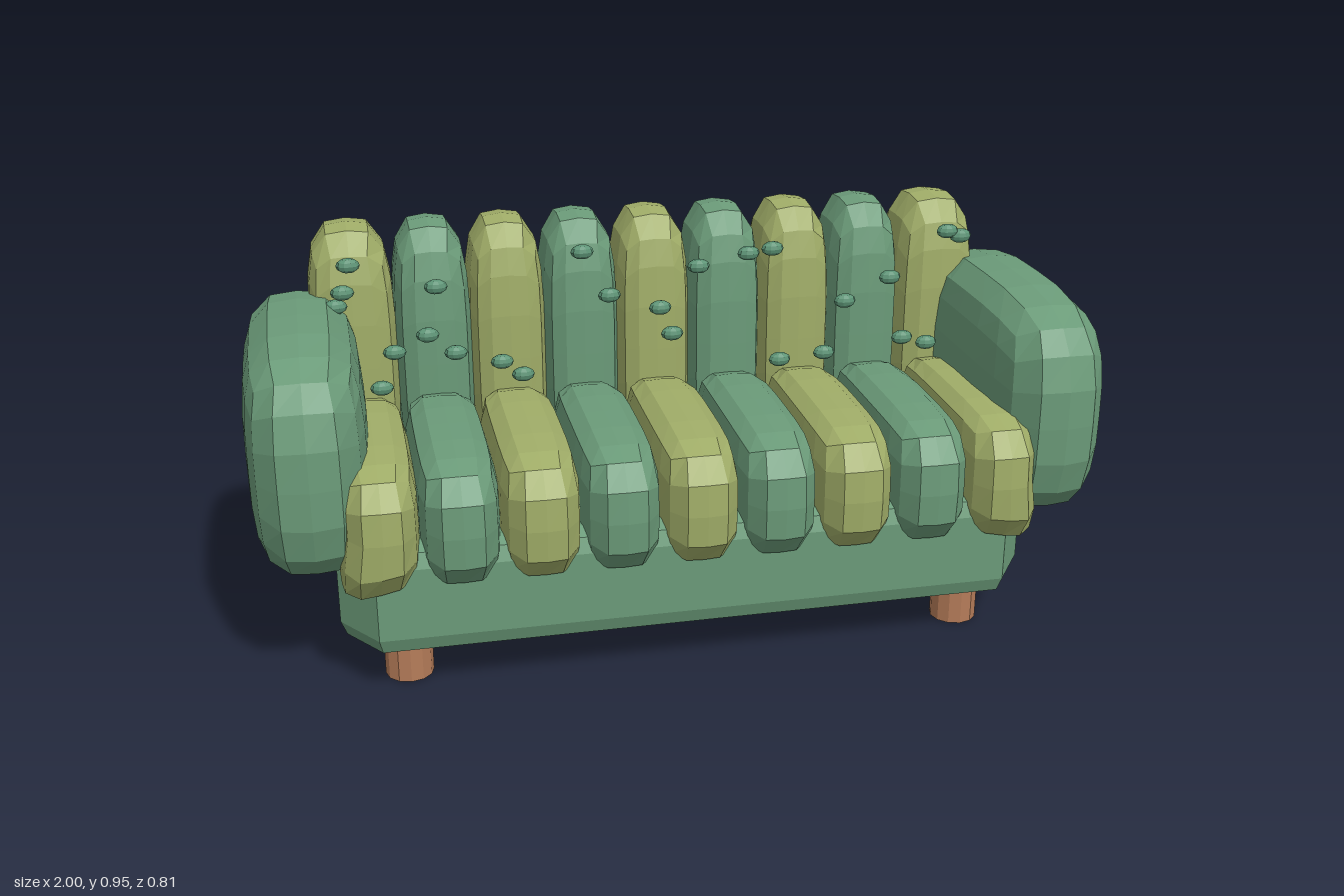
import * as THREE from 'three';

const mat = (name, color, flatShading = true) => {
  const m = new THREE.MeshStandardMaterial({ color, flatShading });
  m.name = name;
  return m;
};

// Stuffed cushion: a divided box rounded by a superellipsoid rule.
// shape(p) may adjust each point while it is still in unit space.
function puff([w, h, d], n, [sx, sy, sz], shape) {
  const g = new THREE.BoxGeometry(2, 2, 2, sx, sy, sz);
  const pos = g.attributes.position;
  const p = new THREE.Vector3();
  for (let i = 0; i < pos.count; i++) {
    p.fromBufferAttribute(pos, i);
    const sum = Math.abs(p.x) ** n + Math.abs(p.y) ** n + Math.abs(p.z) ** n;
    p.multiplyScalar(sum ** (-1 / n));
    if (shape) shape(p);
    pos.setXYZ(i, p.x * w / 2, p.y * h / 2, p.z * d / 2);
  }
  g.computeVertexNormals();
  return g;
}

export function createModel() {
  const sofa = new THREE.Group();
  sofa.name = 'sofa';
  const green = mat('green fabric', 0x6b9b79);
  const olive = mat('olive fabric', 0xa0ad68);
  const bead = mat('button green', 0x5b9274);
  const wood = mat('leg wood', 0xb57c59);

  const add = (name, geo, material, x, y, z, parent = sofa) => {
    const m = new THREE.Mesh(geo, material);
    m.name = name;
    m.position.set(x, y, z);
    parent.add(m);
    return m;
  };

  // Base: chamfered plan with a bevelled rim
  const bevel = 0.045;
  const hx = 0.82 - bevel, hz = 0.37 - bevel, cx = 0.06, cz = 0.085;
  const plan = new THREE.Shape([
    [hx, -hz + cz], [hx, hz - cz], [hx - cx, hz], [-hx + cx, hz],
    [-hx, hz - cz], [-hx, -hz + cz], [-hx + cx, -hz], [hx - cx, -hz],
  ].map(([x, y]) => new THREE.Vector2(x, y)));
  const baseGeo = new THREE.ExtrudeGeometry(plan, {
    depth: 0.17, bevelEnabled: true, bevelSize: bevel, bevelThickness: 0.05, bevelSegments: 2,
  });
  baseGeo.rotateX(-Math.PI / 2);
  add('base', baseGeo, green, 0, 0.152, -0.018);

  // Legs
  const legGeo = new THREE.CylinderGeometry(0.056, 0.056, 0.13, 12);
  for (const x of [-0.67, 0.67])
    for (const z of [0.222, -0.253]) add('leg', legGeo, wood, x, 0.065, z);

  // Arms
  const armGeo = puff([0.276, 0.55, 0.78], 3.4, [4, 6, 6]);
  for (const s of [-1, 1]) add(s > 0 ? 'leftArm' : 'rightArm', armGeo, green, s * 0.862, 0.535, -0.015);

  // Seat and back rolls, in alternating colours
  const seat = new THREE.Group();
  seat.name = 'seat';
  const back = new THREE.Group();
  back.name = 'back';
  sofa.add(seat, back);
  const pitch = 0.181;
  const seatGeo = puff([0.187, 0.305, 0.62], 4, [4, 4, 6]);
  const backGeo = puff([0.187, 0.67, 0.256], 3.6, [4, 6, 4]);
  const endBackGeo = puff([0.208, 0.67, 0.256], 3.6, [4, 6, 4]);
  // The outer seat rolls sag over the front corners of the base
  const endSeatGeo = (side) => puff([0.175, 0.305, 0.62], 4, [4, 4, 6], (p) => {
    const sag = Math.max(0, 0.4 + 0.6 * p.x * side) * Math.max(0, -p.y) * (0.6 + 0.4 * p.z);
    p.x += side * sag * 0.4;
    p.y -= sag * 0.25;
  });
  for (let i = -4; i <= 4; i++) {
    const material = i % 2 ? green : olive;
    const end = Math.abs(i) === 4, side = Math.sign(i);
    add('seatRoll', end ? endSeatGeo(side) : seatGeo, material,
      end ? side * 0.717 : i * pitch, 0.412, 0.1, seat);
    add('backRoll', end ? endBackGeo : backGeo, material,
      end ? side * 0.735 : i * pitch, 0.617, -0.277, back);
  }

  // Small buttons scattered across the front of the back
  const buttonGeo = new THREE.SphereGeometry(1, 10, 6).scale(0.028, 0.018, 0.018);
  const spots = [
    [-0.74, 0.888], [-0.757, 0.823], [-0.775, 0.79], [-0.54, 0.824], [-0.565, 0.706],
    [-0.645, 0.668], [-0.5, 0.657], [-0.39, 0.626], [-0.34, 0.59], [-0.68, 0.58],
    [-0.19, 0.888], [-0.125, 0.776], [0, 0.736], [0.03, 0.668], [0.095, 0.835],
    [0.22, 0.86], [0.28, 0.868], [0.305, 0.58], [0.42, 0.59], [0.47, 0.722],
    [0.585, 0.776], [0.625, 0.615], [0.69, 0.597], [0.73, 0.886], [0.765, 0.872],
  ];
  const buttons = new THREE.Group();
  buttons.name = 'buttons';
  sofa.add(buttons);
  for (const [x, y] of spots) add('button', buttonGeo, bead, x, y, -0.116, buttons);

  return sofa;
}
